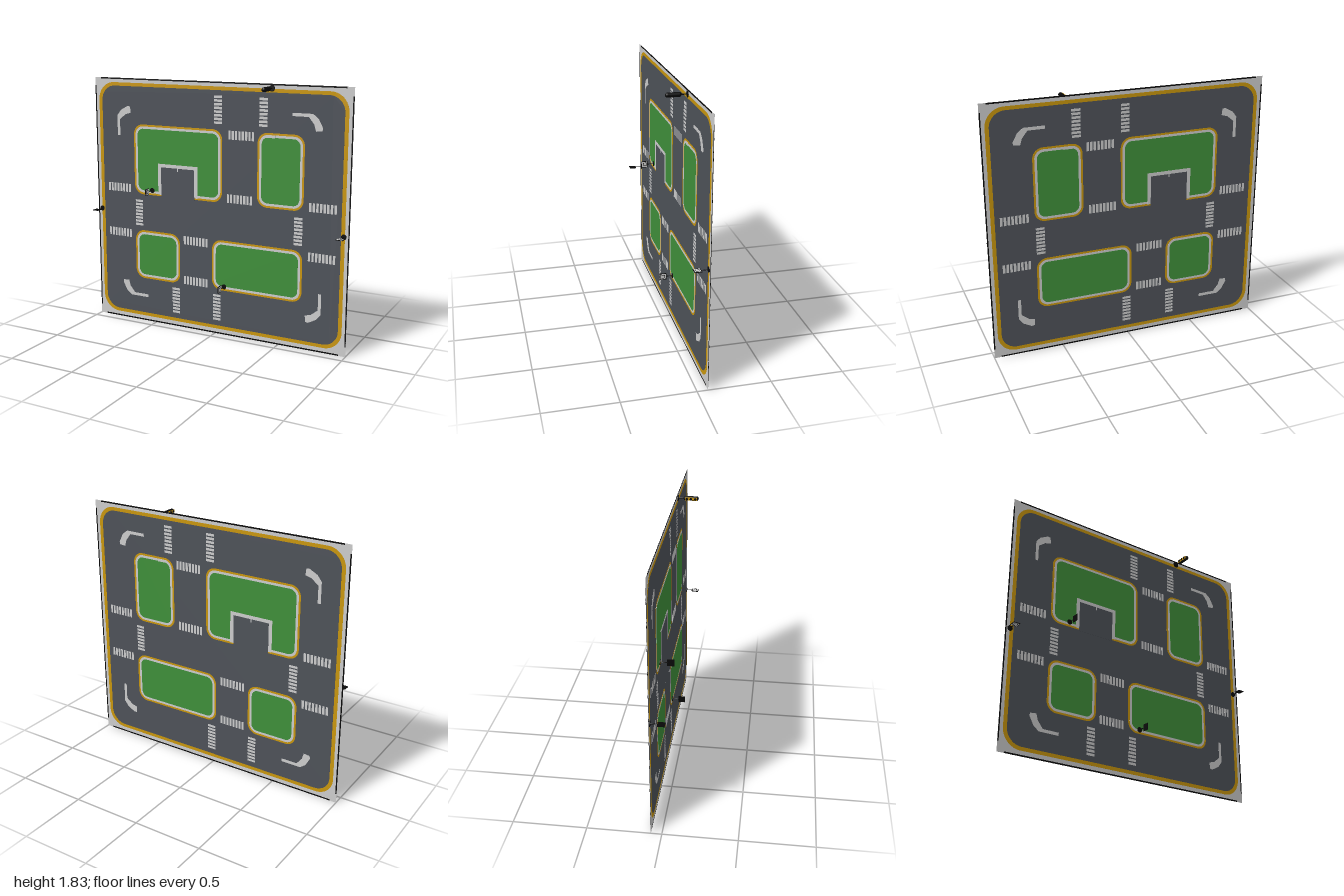
import * as THREE from 'three';

const mat = (name, color, side = THREE.FrontSide) => {
  const m = new THREE.MeshStandardMaterial({ color, side });
  m.name = name;
  return m;
};

const BOARD_Z = -0.073;
const STEP = 0.0004; // each paint layer sits this much prouder on both faces

export function createModel() {
  const root = new THREE.Group();
  const white = mat('paintWhite', 0xcccccc);
  const black = mat('black', 0x080808);
  const yellow = mat('kerbYellow', 0xc9960c);
  const asphalt = mat('asphalt', 0x4e5259);
  const grass = mat('grass', 0x3f8f3a);

  const add = (parent, name, geometry, material, x = 0, y = 0, z = 0) => {
    const mesh = new THREE.Mesh(geometry, material);
    mesh.name = name;
    mesh.position.set(x, y, z);
    parent.add(mesh);
    return mesh;
  };

  // Rectangle with rounded corners, given by its limits
  const rounded = (x0, x1, y0, y1, r = 0) => {
    const s = new THREE.Shape();
    if (r === 0) {
      return s.moveTo(x0, y0).lineTo(x1, y0).lineTo(x1, y1).lineTo(x0, y1).closePath();
    }
    s.absarc(x1 - r, y0 + r, r, -Math.PI / 2, 0);
    s.absarc(x1 - r, y1 - r, r, 0, Math.PI / 2);
    s.absarc(x0 + r, y1 - r, r, Math.PI / 2, Math.PI);
    s.absarc(x0 + r, y0 + r, r, Math.PI, Math.PI * 1.5);
    return s.closePath();
  };

  // Thin sheet centred on the board, so it shows on both faces
  const layer = (name, shapes, material, level) => {
    const depth = 2 * STEP * (level + 1);
    const geometry = new THREE.ExtrudeGeometry(shapes, { depth, bevelEnabled: false, curveSegments: 10 });
    return add(root, name, geometry, material, 0, 0, BOARD_Z - depth / 2);
  };

  // Board, border and road
  layer('board', rounded(-1, 1, 0, 1.83), white, 0);
  layer('boardEdging', [
    rounded(-1, -0.991, 0.07, 1.77), rounded(0.991, 1, 0.07, 1.77),
    rounded(-0.95, 0.95, 0, 0.01), rounded(-0.95, 0.95, 1.82, 1.83),
  ], black, 1);
  layer('roadBorder', rounded(-0.968, 0.968, 0.037, 1.797, 0.13), yellow, 1);
  layer('road', rounded(-0.941, 0.941, 0.062, 1.772, 0.11), asphalt, 2);

  // City blocks: yellow kerb, white pavement, grass
  const blocks = [
    [-0.67, 0.055, 0.982, 1.5], [0.325, 0.67, 0.982, 1.5],
    [-0.67, -0.29, 0.335, 0.708], [-0.025, 0.67, 0.335, 0.708],
  ];
  const inset = (d, r) => blocks.map(([x0, x1, y0, y1]) => rounded(x0 + d, x1 - d, y0 + d, y1 - d, r));
  layer('blockKerbs', inset(0, 0.075), yellow, 3);
  layer('blockPavements', inset(0.014, 0.062), white, 4);
  layer('blockGrass', inset(0.031, 0.048), grass, 5);

  // Parking bay cut into the large block
  layer('parkingBorder', rounded(-0.468, -0.142, 0.992, 1.222), white, 6);
  layer('parkingBay', rounded(-0.442, -0.168, 0.975, 1.197), asphalt, 7);
  layer('parkingMark', rounded(-0.309, -0.301, 1.175, 1.2), white, 8);
  layer('pavementPatch', rounded(0.39, 0.455, 1.466, 1.486), white, 6);

  // Pedestrian crossings, as rows of bars along x or along y
  const bars = [];
  const crossing = (cx, cy, alongX) => {
    const count = 8, pitch = 0.0255, half = 0.0085, reach = 0.031;
    for (let i = 0; i < count; i++) {
      const o = (i - (count - 1) / 2) * pitch;
      bars.push(alongX
        ? rounded(cx + o - half, cx + o + half, cy - reach, cy + reach)
        : rounded(cx - reach, cx + reach, cy + o - half, cy + o + half));
    }
  };
  [[-0.805, 1.018], [0.19, 1.018], [0.808, 1.018], [0.2, 1.467],
    [-0.805, 0.673], [-0.16, 0.673], [0.808, 0.673], [-0.16, 0.37]]
    .forEach(([x, y]) => crossing(x, y, true));
  [[0.022, 1.637], [0.366, 1.637], [-0.635, 0.84], [0.635, 0.84], [-0.325, 0.2], [0.013, 0.2]]
    .forEach(([x, y]) => crossing(x, y, false));
  layer('crossings', bars, white, 3);

  // Bent direction marks at the four corners
  const bend = [[-0.011, 0], [-0.011, 0.147], [0.02, 0.187], [0.08, 0.219], [0.1, 0.215],
    [0.105, 0.17], [0.06, 0.157], [0.011, 0.118], [0.011, 0]];
  const turnMarks = [
    [-0.8, 1.41, 0], [0.575, 1.634, -1], [0.803, 0.42, 2], [-0.57, 0.198, 1],
  ].map(([x, y, quarter]) => new THREE.Shape(bend.map(([u, v]) =>
    new THREE.Vector2(u, v).rotateAround(new THREE.Vector2(), quarter * Math.PI / 2).add(new THREE.Vector2(x, y)))));
  layer('turnMarks', turnMarks, white, 3);

  // Post and foot standing out of the board along z
  const post = (group, footRadius, radius, top) => {
    const length = top + 0.073;
    add(group, 'foot', new THREE.CylinderGeometry(footRadius, footRadius, 0.005, 12), black, 0, 0, -0.0705)
      .rotation.x = Math.PI / 2;
    add(group, 'post', new THREE.CylinderGeometry(radius, radius, length, 8), black, 0, 0, top - length / 2)
      .rotation.x = Math.PI / 2;
  };

  // Road signs, face turned to +x before the group is rotated
  [[-0.967, 0.84, -Math.PI / 2], [0.96, 0.84, Math.PI / 2], [-0.52, 1.018, 0], [0.072, 0.365, 0]]
    .forEach(([x, y, angle]) => {
      const sign = new THREE.Group();
      sign.name = 'roadSign';
      sign.position.set(x, y, 0);
      sign.rotation.z = angle;
      post(sign, 0.019, 0.0025, -0.02);
      add(sign, 'signBack', new THREE.BoxGeometry(0.004, 0.048, 0.048), black);
      add(sign, 'signFace', new THREE.BoxGeometry(0.001, 0.04, 0.04), white, 0.0025);
      add(sign, 'signSymbol', new THREE.BoxGeometry(0.001, 0.026, 0.026), black, 0.003);
      add(sign, 'signCentre', new THREE.BoxGeometry(0.001, 0.02, 0.02), white, 0.0035);
      root.add(sign);
    });

  // Traffic light on the top border
  const light = new THREE.Group();
  light.name = 'trafficLight';
  light.position.set(0.425, 1.8, 0);
  post(light, 0.022, 0.004, -0.02);
  add(light, 'housing', new THREE.CapsuleGeometry(0.016, 0.074, 6, 12), black, 0, 0, 0.021)
    .rotation.x = Math.PI / 2;
  add(light, 'housingFace', new THREE.BoxGeometry(0.004, 0.02, 0.085), yellow, -0.015, 0, 0.021);
  for (const z of [-0.008, 0.021, 0.05]) {
    add(light, 'lamp', new THREE.CylinderGeometry(0.009, 0.009, 0.006, 12), black, -0.017, 0, z)
      .rotation.z = Math.PI / 2;
  }
  root.add(light);

  return root;
}
